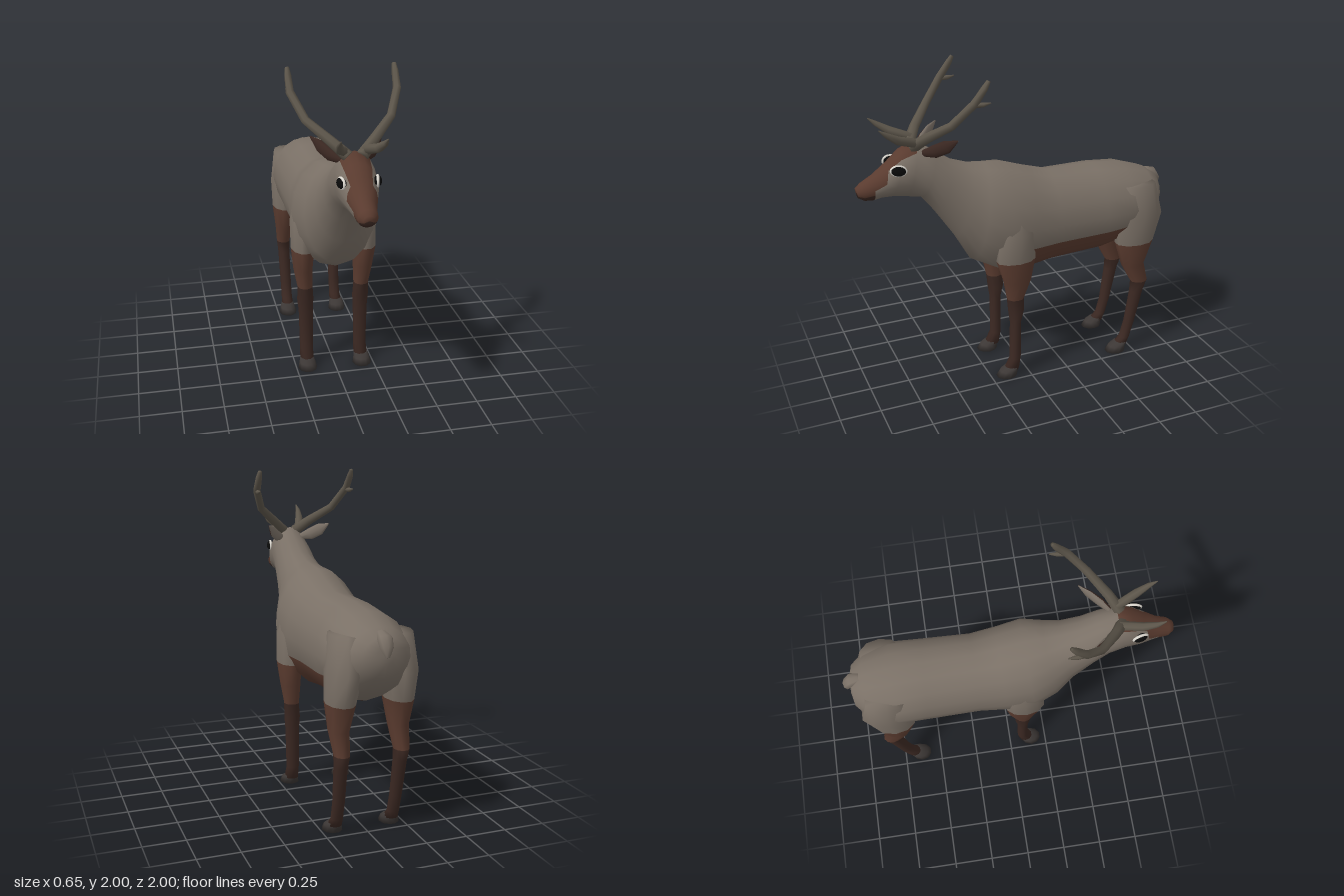
import * as THREE from 'three';

const V = (x, y, z) => new THREE.Vector3(x, y, z);
const mat = (color) => new THREE.MeshStandardMaterial({ color, roughness: 0.9 });
const fur = mat(0x7a7066), brown = mat(0x5a3b2f), darkBrown = mat(0x3b2822);
const hoofMat = mat(0x3c3735), antlerMat = mat(0x5c554a), black = mat(0x0a0a0a), white = mat(0xd8d4cc);

// Skin over elliptical rings {c, u, v}; u x v points along the run. pick(i, angle) gives a material index.
function loft(rings, sides, pick = () => 0) {
  const pos = [], buckets = [];
  const add = (m, ...ids) => (buckets[m] ??= []).push(...ids);
  for (const { c, u, v } of rings) {
    for (let j = 0; j < sides; j++) {
      const a = (j / sides) * Math.PI * 2;
      const p = c.clone().addScaledVector(u, Math.cos(a)).addScaledVector(v, Math.sin(a));
      pos.push(p.x, p.y, p.z);
    }
  }
  const last = rings.length - 1, start = rings.length * sides;
  for (const r of [rings[0], rings[last]]) pos.push(r.c.x, r.c.y, r.c.z);
  for (let j = 0; j < sides; j++) {
    const k = (j + 1) % sides, angle = ((j + 0.5) / sides) * Math.PI * 2;
    for (let i = 0; i < last; i++) {
      const a = i * sides + j, b = i * sides + k;
      add(pick(i, angle), a, b, b + sides, a, b + sides, a + sides);
    }
    add(pick(0, angle), start, k, j);
    add(pick(last - 1, angle), start + 1, last * sides + j, last * sides + k);
  }
  const g = new THREE.BufferGeometry();
  g.setAttribute('position', new THREE.Float32BufferAttribute(pos, 3));
  const index = [];
  buckets.forEach((ids, m) => {
    g.addGroup(index.length, ids.length, m);
    for (const id of ids) index.push(id);
  });
  g.setIndex(index);
  g.computeVertexNormals();
  return g;
}

// Rings square to a path; rows are [x, y, z, sideways radius, upright radius]
function pathRings(rows, ref = V(0, 1, 0)) {
  const pts = rows.map(([x, y, z]) => V(x, y, z));
  return rows.map((r, i) => {
    const t = pts[Math.min(i + 1, pts.length - 1)].clone().sub(pts[Math.max(i - 1, 0)]).normalize();
    const u = ref.clone().cross(t).normalize();
    const v = t.clone().cross(u);
    return { c: pts[i], u: u.multiplyScalar(r[3]), v: v.multiplyScalar(r[4] ?? r[3]) };
  });
}

// Level rings going down; rows are [x, y, z, half width, half depth]
const legRings = (rows) => rows.map(([x, y, z, rx, rz]) => ({ c: V(x, y, z), u: V(rx, 0, 0), v: V(0, 0, rz) }));

function mirrored(geometry) {
  const g = geometry.clone().scale(-1, 1, 1), ix = g.index;
  for (let i = 0; i < ix.count; i += 3) {
    const a = ix.getX(i);
    ix.setX(i, ix.getX(i + 1));
    ix.setX(i + 1, a);
  }
  g.computeVertexNormals();
  return g;
}

export function createModel() {
  const model = new THREE.Group();
  model.name = 'deer';
  const part = (name, geometry, material) => {
    const m = new THREE.Mesh(geometry, material);
    m.name = name;
    model.add(m);
  };
  const pair = (name, geometry, material) => {
    part(name + 'Left', geometry, material);
    part(name + 'Right', mirrored(geometry), material);
  };

  // Body, neck and head, rump to nose: [top z, top y, bottom z, bottom y, half width]
  const body = [
    [-0.955, 1.14, -0.965, 1.04, 0.05], [-0.94, 1.19, -0.945, 0.96, 0.13],
    [-0.87, 1.23, -0.87, 0.86, 0.205], [-0.7, 1.285, -0.7, 0.77, 0.255],
    [-0.5, 1.305, -0.55, 0.73, 0.245], [-0.2, 1.305, -0.2, 0.71, 0.235],
    [-0.05, 1.35, 0, 0.68, 0.25], [0.1, 1.4, 0.17, 0.71, 0.262],
    [0.22, 1.41, 0.32, 0.79, 0.215], [0.31, 1.42, 0.42, 0.97, 0.168],
    [0.43, 1.46, 0.54, 1.15, 0.142], [0.53, 1.53, 0.62, 1.255, 0.13],
    [0.64, 1.6, 0.71, 1.27, 0.118], [0.73, 1.56, 0.8, 1.285, 0.108],
    [0.81, 1.49, 0.86, 1.285, 0.085], [0.9, 1.425, 0.9, 1.275, 0.064],
    [0.97, 1.385, 0.955, 1.28, 0.056], [1, 1.36, 0.99, 1.3, 0.034],
  ].map(([tz, ty, bz, by, w]) => ({
    c: V(0, (ty + by) / 2, (tz + bz) / 2), u: V(w, 0, 0), v: V(0, (ty - by) / 2, (tz - bz) / 2),
  }));
  part('body', loft(body, 16, (i, a) => {
    const s = Math.sin(a);
    if (i >= 15) return s < -0.5 ? 2 : 1;
    if (i >= 12) return s > 0.8 || (i === 14 && s > 0) ? 1 : 0;
    return i >= 3 && i <= 5 && s < -0.35 ? 1 : 0;
  }), [fur, brown, darkBrown]);

  // Legs, fading from fur to dark brown
  const frontLeg = [
    [0.165, 1.2, 0.08, 0.06, 0.08], [0.185, 1, 0.08, 0.085, 0.13], [0.193, 0.82, 0.09, 0.074, 0.125],
    [0.19, 0.68, 0.08, 0.062, 0.09], [0.18, 0.55, 0.088, 0.048, 0.055], [0.178, 0.46, 0.083, 0.052, 0.05],
    [0.176, 0.38, 0.087, 0.046, 0.034], [0.175, 0.12, 0.088, 0.042, 0.035], [0.176, 0.04, 0.115, 0.044, 0.05],
  ];
  const hindLeg = [
    [0.15, 1.18, -0.75, 0.09, 0.13], [0.165, 0.97, -0.765, 0.096, 0.165], [0.175, 0.79, -0.742, 0.082, 0.132],
    [0.18, 0.63, -0.737, 0.06, 0.077], [0.18, 0.5, -0.79, 0.046, 0.058], [0.18, 0.43, -0.775, 0.04, 0.046],
    [0.176, 0.2, -0.735, 0.037, 0.036], [0.175, 0.09, -0.705, 0.037, 0.034], [0.176, 0.04, -0.67, 0.042, 0.048],
  ];
  const legTone = (i) => (i < 2 ? 0 : i < 4 ? 1 : 2);
  pair('frontLeg', loft(legRings(frontLeg), 10, legTone), [fur, brown, darkBrown]);
  pair('hindLeg', loft(legRings(hindLeg), 10, legTone), [fur, brown, darkBrown]);

  // Hooves
  for (const [name, z] of [['frontHoof', 0], ['hindHoof', -0.785]]) {
    const rows = [[0.177, 0.06, 0.11 + z, 0.042, 0.042], [0.178, 0.035, 0.135 + z, 0.052, 0.058], [0.178, 0, 0.148 + z, 0.06, 0.068]];
    pair(name, loft(legRings(rows), 10), hoofMat);
  }

  // Antlers: main beam, forward tine and small rear prong
  const antler = {
    antlerBeam: [[0.04, 1.575, 0.66, 0.036], [0.12, 1.645, 0.6, 0.03], [0.24, 1.74, 0.49, 0.025], [0.302, 1.87, 0.38, 0.024], [0.304, 1.95, 0.32, 0.02], [0.304, 1.99, 0.295, 0.012]],
    antlerTine: [[0.06, 1.6, 0.64, 0.028], [0.105, 1.645, 0.76, 0.026], [0.122, 1.69, 0.83, 0.016], [0.124, 1.725, 0.875, 0.003]],
    antlerProng: [[0.3, 1.86, 0.4, 0.014], [0.306, 1.86, 0.33, 0.014], [0.31, 1.867, 0.285, 0.004]],
  };
  for (const [name, rows] of Object.entries(antler)) pair(name, loft(pathRings(rows), 7), antlerMat);

  // Ears, darker on the inner face
  const ear = [[0.07, 1.54, 0.61, 0.016, 0.02], [0.12, 1.56, 0.56, 0.02, 0.038], [0.165, 1.595, 0.5, 0.014, 0.038], [0.205, 1.635, 0.445, 0.003, 0.004]];
  pair('ear', loft(pathRings(ear), 8, (i, a) => (Math.cos(a) < 0 ? 1 : 0)), [fur, darkBrown]);

  // Eyes with pale rims
  const eyeball = (sx, sy, sz) => new THREE.SphereGeometry(1, 16, 10).scale(sx, sy, sz).rotateY(-0.2).rotateX(-0.1).translate(0.099, 1.465, 0.768);
  pair('eye', eyeball(0.023, 0.031, 0.044), black);
  pair('eyeRim', eyeball(0.014, 0.036, 0.05), white);

  // Tail
  const tail = [[0, 1.2, -0.89, 0.03, 0.02], [0, 1.18, -0.945, 0.045, 0.03], [0, 1.135, -0.972, 0.04, 0.03], [0, 1.085, -0.988, 0.012, 0.01]];
  part('tail', loft(pathRings(tail), 8), fur);

  return model;
}
